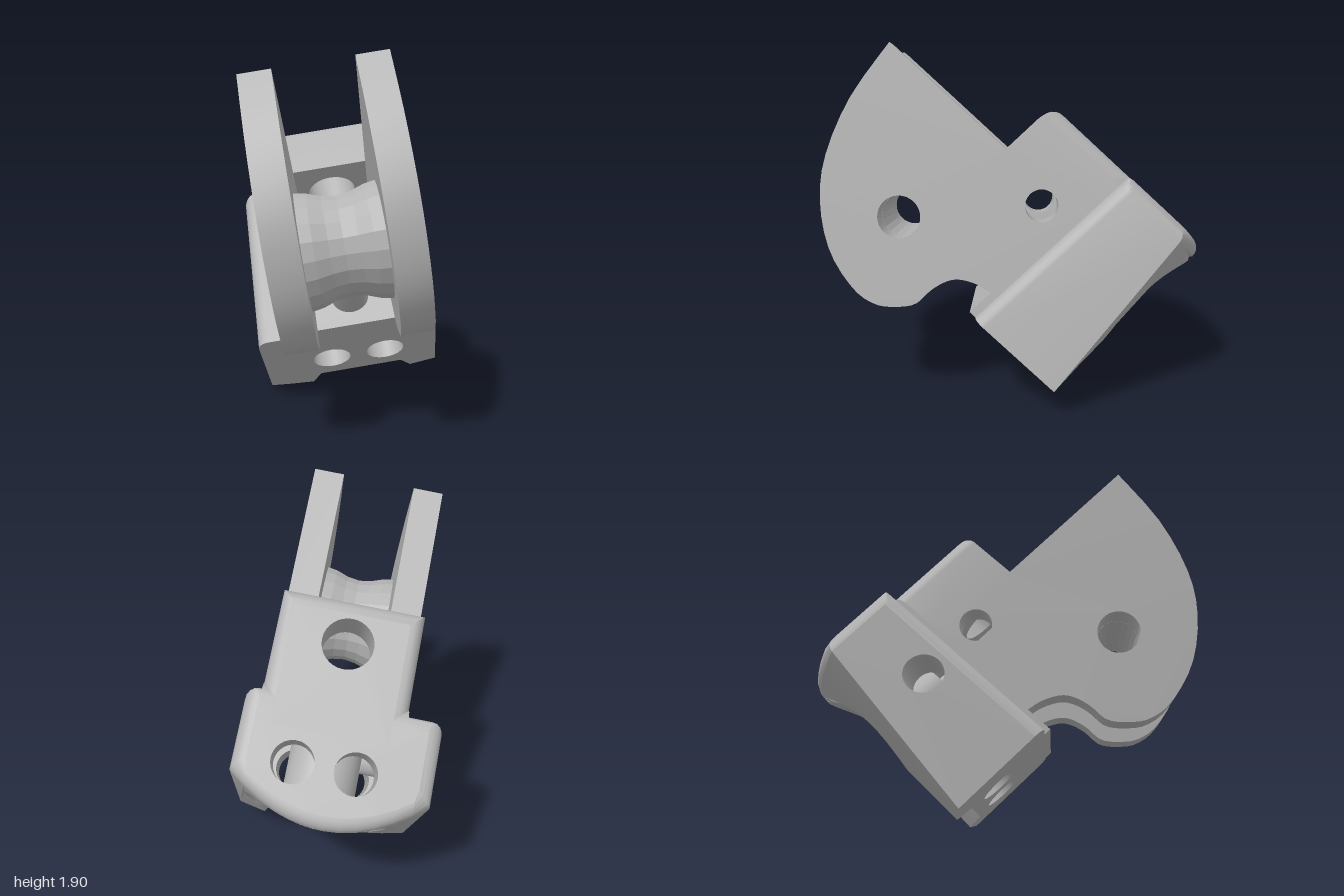
import * as THREE from 'three';
import { toCreasedNormals, mergeVertices } from 'three/addons/utils/BufferGeometryUtils.js';

const grey = new THREE.MeshStandardMaterial({ color: 0xb4b4b4, side: THREE.DoubleSide });
grey.name = 'plain grey';

// Tilted frame: x across, Y up and Z forward, rolled about the z axis.
const W = (x, Y, Z) => [0.987 * x - 0.162 * Y, 0.162 * x + 0.987 * Y, Z];
// Body frame: x across, v through the slab, u along the slab.
const P = (x, v, u) => W(x, 0.49 - 0.678 * v + 0.68 * u, 0.24 - 0.735 * v - 0.734 * u);

const MID = 0.155, XL = -0.378, XR = 0.595;      // centre of the holes, slab sides
const BL = -0.2, BR = 0.52, BTOP = -0.485;       // block sides and top
const FLOOR = 0.54, END = 1.07, R = 0.07, MAIN = END - R;

const v2 = (pts) => pts.map(([a, b]) => new THREE.Vector2(a, b));
const circle = (a, b, r, n = 32) => Array.from({ length: n }, (_, i) => {
  const t = (i / n) * Math.PI * 2;
  return [a + r * Math.cos(t), b + r * Math.sin(t)];
});

function shapeOf(pts, holes = []) {
  const s = new THREE.Shape(v2(pts));
  holes.forEach((h) => s.holes.push(new THREE.Path(v2(h))));
  return s;
}

// Move every vertex through a rule, then refresh the normals.
function remap(geo, rule, crease = 0.6) {
  const p = geo.attributes.position;
  for (let i = 0; i < p.count; i++) p.setXYZ(i, ...rule(p.getX(i), p.getY(i), p.getZ(i)));
  geo.deleteAttribute('normal');
  geo.deleteAttribute('uv');
  return toCreasedNormals(mergeVertices(geo, 1e-5), crease);
}

// Surface through rows of points already in model space.
function skin(rows, closed = true, skip = () => false) {
  const n = rows[0].length, idx = [];
  for (let j = 0; j + 1 < rows.length; j++) {
    for (let i = 0; i < (closed ? n : n - 1); i++) {
      if (skip(i, j)) continue;
      const k = (i + 1) % n, a = j * n, b = a + n;
      idx.push(a + i, b + i, b + k, a + i, b + k, a + k);
    }
  }
  const g = new THREE.BufferGeometry();
  g.setAttribute('position', new THREE.Float32BufferAttribute(rows.flat(2), 3));
  g.setIndex(idx);
  return toCreasedNormals(g, 0.6);
}

export function createModel() {
  const root = new THREE.Group();
  root.name = 'rollerBracket';
  const add = (name, geo) => {
    const m = new THREE.Mesh(geo, grey);
    m.name = name;
    root.add(m);
  };
  const patch = (name, pts, holes, rule) =>
    add(name, remap(new THREE.ShapeGeometry(shapeOf(pts, holes)), rule));

  // ---- Side plates with curved rim, axle hole and pin hole
  const rim = new THREE.SplineCurve(v2([
    [0.635, 1.865], [0.84, 1.587], [0.97, 1.293], [1.0, 1.05], [0.955, 0.806], [0.84, 0.614],
    [0.73, 0.533], [0.625, 0.518], [0.52, 0.533], [0.44, 0.604], [0.36, 0.65], [0.29, 0.66],
    [0.2, 0.634], [0.13, 0.59]])).getPoints(40).map((p) => [p.x, p.y]);
  // root of the plate along the slab, then up the block face
  const outline = [...rim, [-0.315, 1.0], [0.045, 1.323]].map(([z, y]) => [-z, y]);
  const plate = shapeOf(outline, [circle(-0.6, 0.984, 0.11), circle(0.13, 1.04, 0.085)]);
  [['rightPlate', BL], ['leftPlate', BR - 0.163]].forEach(([name, x0]) => {
    const g = new THREE.ExtrudeGeometry(plate, { depth: 0.163, bevelEnabled: false });
    add(name, remap(g, (a, b, c) => W(x0 + c, b, -a), 0.4));
  });

  // ---- Waisted roller between the plates, faceted
  const waist = [[0.11, -0.04], [0.29, -0.04], [0.28, 0.02], [0.255, 0.09], [0.245, 0.16],
    [0.255, 0.23], [0.28, 0.3], [0.29, 0.36], [0.11, 0.36], [0.11, -0.04]];
  add('roller', remap(new THREE.LatheGeometry(v2(waist), 20),
    (a, b, c) => W(b, 0.984 + c, 0.6 + a), 0.12));

  // Rounding steps used at the far end of block and slab
  const steps = Array.from({ length: 6 }, (_, k) => {
    const t = (k / 5) * Math.PI / 2;
    return [MAIN + R * Math.sin(t), R * (1 - Math.cos(t))];
  });

  // ---- Block bridging the plates
  const blockRing = (i) => [[BL + i, 0.2], [BL + i, BTOP + i], [BR - i, BTOP + i], [BR - i, 0.2]];
  const to3 = (ring, u) => ring.map(([x, v]) => P(x, v, u));
  add('block', skin([to3(blockRing(0), 0.745), ...steps.map(([u, i]) => to3(blockRing(i), u))]));
  const bore = circle(MID, -0.26, 0.13);
  patch('blockEnd', blockRing(R), [bore], (x, v) => P(x, v, END));
  patch('blockUnderside', blockRing(0), [bore], (x, v) => P(x, v, 0.745));
  add('blockBore', skin([to3(bore, 0.745), to3(bore, END)]));

  // ---- Slab: cross-section with rounded shoulders and an arched, tapering base
  const edge = (u) => 0.59 - 0.15 * u / END;
  const base = (x, u) => {
    const s = (x - (XL + XR) / 2) / ((XR - XL) / 2);
    return edge(u) + (0.65 - edge(u)) * (1 - s * s);
  };
  const ring = (u, i = 0) => {
    const r = 0.06, pts = [[XL, edge(u)]];
    const arc = [0, 1, 2, 3, 4].map((k) => [r - r * Math.cos(k * Math.PI / 8), 0.1 - r * Math.sin(k * Math.PI / 8)]);
    arc.forEach(([a, v]) => pts.push([XL + a, v]));
    pts.push([BL, 0.04], [BL, 0], [BR, 0], [BR, 0.04]);
    [...arc].reverse().forEach(([a, v]) => pts.push([XR - a, v]));
    pts.push([XR, edge(u)]);
    for (let k = 1; k < 12; k++) {
      const x = XR + (XL - XR) * k / 12;
      pts.push([x, base(x, u)]);
    }
    return pts.map(([x, v]) => [Math.min(Math.max(x, XL + i), XR - i), v > 0.3 ? v - i : Math.max(v, i)]);
  };
  // side 0, strip 7 and the base (15 on) carry holes and are separate faces
  add('slabShell', skin([to3(ring(0), 0), ...steps.map(([u, i]) => to3(ring(u, i), u))], true,
    (i, j) => j === 0 && (i === 0 || i === 7 || i >= 15)));
  const tunnels = [0, 0.305].map((x) => circle(x, 0.36, 0.105));
  patch('slabEnd', ring(END, R), tunnels, (x, v) => P(x, v, END));

  // ---- Keyhole pocket in the base, open at the front
  const CU = 0.6;
  const keyhole = (r, h) => {
    const t0 = Math.asin(h / r), pts = [[MID - h, 0]];
    for (let k = 0; k <= 28; k++) {
      const t = t0 + (k / 28) * (2 * Math.PI - 2 * t0);
      pts.push([MID - r * Math.sin(t), CU - r * Math.cos(t)]);
    }
    return [...pts, [MID + h, 0]];
  };
  const inner = keyhole(0.32, 0.235), outer = keyhole(0.38, 0.29);
  const smallHole = circle(MID, 0.18, 0.1), bigHole = circle(MID, CU, 0.23), well = circle(MID, CU, 0.19);
  patch('pocketFloor', inner, [circle(MID, 0.18, 0.12), bigHole], (x, u) => P(x, FLOOR, u));
  add('pocketWall', skin([inner.map(([x, u]) => P(x, FLOOR, u)),
    outer.map(([x, u]) => P(x, base(x, u), u))], false));
  const farEdge = ring(MAIN).slice(15).map(([x]) => [x, MAIN]);
  patch('slabBase', [[XL, 0], [(XL + MID - 0.29) / 2, 0], ...outer, [XR, 0], ...farEdge, [XL, MAIN]], [],
    (x, u) => P(x, base(x, u), u));
  const front = [...ring(0).slice(0, 16), [MID + 0.29, base(MID + 0.29, 0)], [MID + 0.235, FLOOR],
    [MID - 0.235, FLOOR], [MID - 0.29, base(MID - 0.29, 0)], [-0.257, base(-0.257, 0)]];
  patch('slabFront', front, tunnels, (x, v) => P(x, v, 0));

  // ---- Top strip, right side and the walls of their holes
  patch('slabTop', [[BL, 0], [BR, 0], [BR, MAIN], [BL, MAIN]], [smallHole], (x, u) => P(x, 0, u));
  const sideHole = circle(CU, 0.23, 0.1);
  patch('slabRightSide', [[0, 0.1], [MAIN, 0.1], [MAIN, edge(MAIN)], [0, edge(0)]], [sideHole],
    (u, v) => P(XL, v, u));
  add('sideHoleWall', skin([XL, -0.035].map((x) => sideHole.map(([u, v]) => P(x, v, u)))));
  tunnels.forEach((c) => [[0, 0.41], [0.79, END]].forEach((span) =>
    add('tunnelWall', skin(span.map((u) => to3(c, u))))));
  const down = (loop, v) => loop.map(([x, u]) => P(x, v, u));
  add('smallHoleWall', skin([down(smallHole, 0), down(smallHole, 0.5), down(circle(MID, 0.18, 0.12), FLOOR)]));
  add('wellWall', skin([down(bigHole, FLOOR), down(well, 0.5), down(well, 0.16)]));
  const drain = circle(MID, CU, 0.07);
  patch('wellFloor', well, [drain], (x, u) => P(x, 0.16, u));
  add('drainWall', skin([down(drain, 0.16), down(drain, 0.02)]));
  patch('drainEnd', drain, [], (x, u) => P(x, 0.02, u));

  return root;
}
